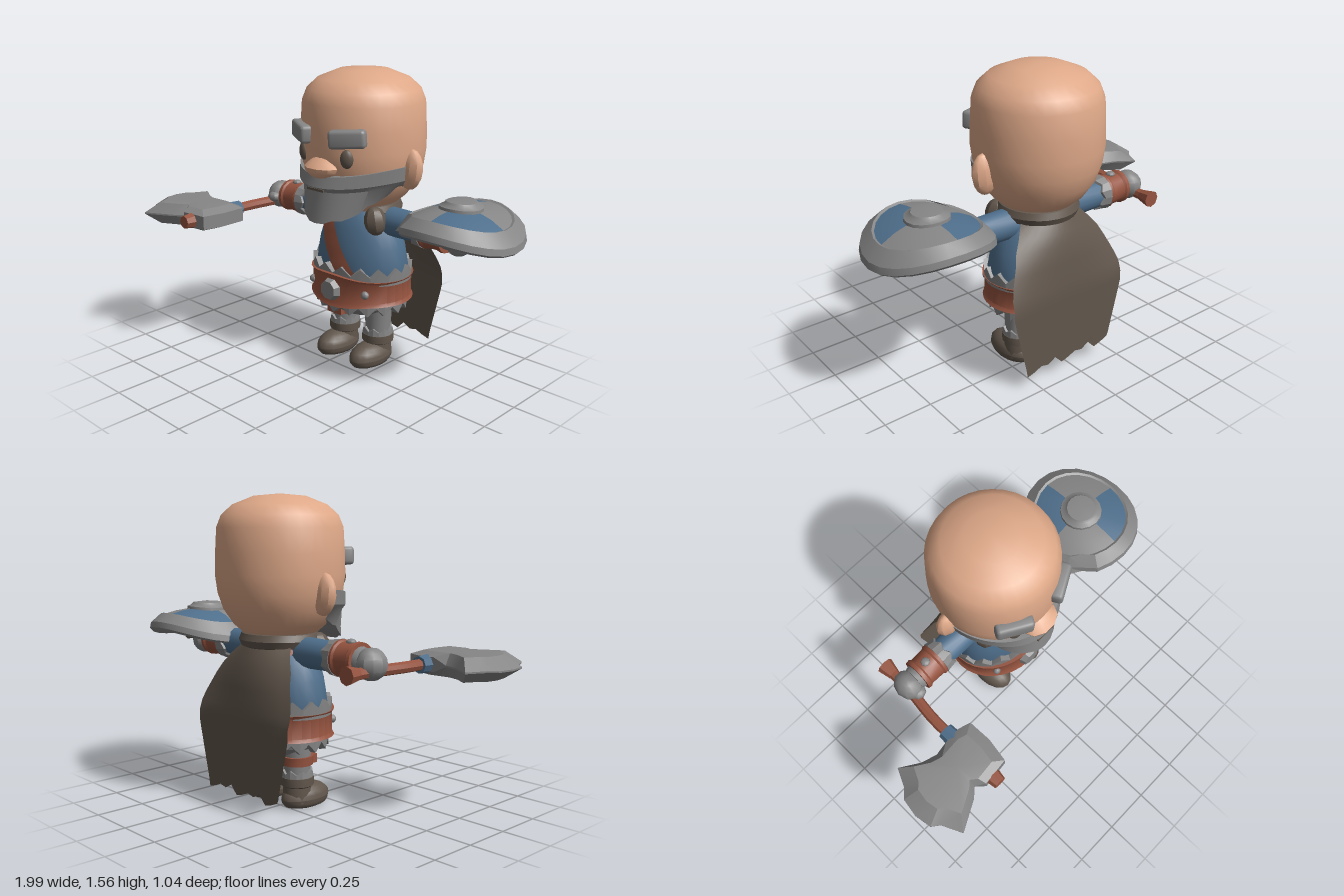
import * as THREE from 'three';
import { toCreasedNormals } from 'three/addons/utils/BufferGeometryUtils.js';
import { RoundedBoxGeometry } from 'three/addons/geometries/RoundedBoxGeometry.js';

const { sin, cos, abs, max, sqrt, PI } = Math;

function material(name, color, side = THREE.FrontSide) {
  const m = new THREE.MeshStandardMaterial({ color, side });
  m.name = name;
  return m;
}

function add(parent, name, geo, mat, pos = [0, 0, 0], rot = [0, 0, 0], scale = [1, 1, 1], crease = 0.6) {
  const mesh = new THREE.Mesh(toCreasedNormals(geo, crease), mat);
  mesh.name = name;
  mesh.position.set(...pos);
  mesh.rotation.set(...rot);
  mesh.scale.set(...scale);
  parent.add(mesh);
  return mesh;
}

function group(parent, name, x = 0, y = 0, z = 0) {
  const g = new THREE.Group();
  g.name = name;
  g.position.set(x, y, z);
  parent.add(g);
  return g;
}

// Surface from a rule: fn(i, j) gives a point, i runs around and j upwards
function grid(nu, nv, fn) {
  const pos = [], index = [];
  for (let j = 0; j <= nv; j++) for (let i = 0; i <= nu; i++) pos.push(...fn(i, j));
  for (let j = 0; j < nv; j++) for (let i = 0; i < nu; i++) {
    const a = j * (nu + 1) + i, b = a + 1, c = b + nu + 1, d = c - 1;
    index.push(a, b, c, a, c, d);
  }
  const geo = new THREE.BufferGeometry();
  geo.setAttribute('position', new THREE.Float32BufferAttribute(pos, 3));
  geo.setIndex(index);
  return geo;
}

const lathe = (pts, seg = 24, start = 0, length = 2 * PI) =>
  new THREE.LatheGeometry(pts.map(p => new THREE.Vector2(...p)), seg, start, length);

const cyl = (top, bottom, h, seg = 14) => new THREE.CylinderGeometry(top, bottom, h, seg);
const ball = (w = 14, h = 10) => new THREE.SphereGeometry(1, w, h);

function warp(geo, fn) {
  const p = geo.attributes.position, v = new THREE.Vector3();
  for (let i = 0; i < p.count; i++) {
    fn(v.fromBufferAttribute(p, i));
    p.setXYZ(i, v.x, v.y, v.z);
  }
  return geo;
}

// Ring whose rows [radius, y, tooth] get a zigzag of height tooth
const zigzag = (teeth, rows) => grid(teeth * 2, rows.length - 1, (i, j) => {
  const a = i / teeth * PI, [r, y, t] = rows[j];
  return [r * sin(a), y + (i % 2 ? t : 0), r * cos(a)];
});

// Linear interpolation through [x, y] pairs
function interp(table, x) {
  const k = max(1, table.findIndex(p => p[0] >= x));
  const [a, b] = [table[k - 1], table[k]];
  return a[1] + (b[1] - a[1]) * (x - a[0]) / (b[0] - a[0]);
}

export function createModel() {
  const skin = material('skin', 0xdea888);
  const grey = material('steelGrey', 0x868686, THREE.DoubleSide);
  const blue = material('blueCloth', 0x4f6f8c);
  const brown = material('redBrownLeather', 0x965440, THREE.DoubleSide);
  const dark = material('darkBrown', 0x61564c, THREE.DoubleSide);

  const root = new THREE.Group();
  root.name = 'dwarfWarrior';
  const body = group(root, 'body', 0.05, 0, -0.197);

  // Head
  const head = group(body, 'head');
  add(head, 'skull', lathe([[0, 0.83], [0.15, 0.85], [0.235, 0.925], [0.285, 1.0], [0.312, 1.08], [0.324, 1.17],
    [0.321, 1.28], [0.314, 1.4], [0.29, 1.46], [0.235, 1.51], [0.13, 1.552], [0, 1.564]], 32), skin, undefined, undefined, undefined, 1);
  for (const s of [-1, 1]) {
    add(head, 'ear', ball(10, 8), skin, [s * 0.313, 1.085, 0], [0, 0, -s * 0.1], [0.072, 0.105, 0.043]);
    add(head, 'eye', ball(), dark, [s * 0.147, 1.155, 0.283], [0, s * 0.45, 0], [0.034, 0.047, 0.022], 1);
    add(head, 'eyebrow', new RoundedBoxGeometry(0.185, 0.09, 0.065, 2, 0.018), grey,
      [s * 0.155, 1.255, 0.288], [0, s * 0.5, s * 0.07]);
  }
  const nose = warp(ball(10, 8), v => {
    const t = max(0, v.y);
    v.x *= 1 - 0.35 * t;
    v.z *= 1 - 0.5 * t;
    v.z += v.y < 0 ? 0 : -0.25 * t;
  });
  add(head, 'nose', nose, skin, [0, 1.1, 0.305], undefined, [0.1, 0.062, 0.073]);

  // Beard: rows from the throat, over the chin and moustache, up to the cheeks
  const beard = grid(24, 5, (i, j) => {
    const a = (i / 24 - 0.5) * PI * 1.04, c = max(0, cos(a)), s2 = sin(a) ** 2, c4 = c ** 4;
    const jag = i % 4 === 2 ? 0.012 : 0;
    const [r, y] = [
      [0.05, 0.93],
      [0.255 + 0.1 * c4, 0.82 + 0.15 * s2 + jag],
      [0.295 + 0.04 * c4, 0.98 + 0.03 * s2],
      [0.312 + 0.043 * c4, 1.003 + 0.03 * s2],
      [0.32 + 0.018 * c4, 1.06 + 0.045 * s2],
      [0.3, 1.06 + 0.045 * s2]][j];
    return [r * sin(a), y, r * cos(a)];
  });
  add(head, 'beard', beard, grey, undefined, undefined, undefined, 0.45);
  add(head, 'mouth', new THREE.BoxGeometry(0.11, 0.012, 0.008), dark, [0, 0.991, 0.349]);

  // Torso and mail skirt
  const flat = [1, 1, 0.74];
  const torsoProfile = [[0.25, 0.42], [0.272, 0.54], [0.25, 0.66], [0.22, 0.75], [0.16, 0.85], [0, 0.89]];
  add(body, 'torso', lathe(torsoProfile), blue, undefined, undefined, flat, 1);
  add(body, 'mailSkirt', lathe([[0, 0.265], [0.14, 0.27], [0.21, 0.32], [0.245, 0.42]]), grey, undefined, undefined, [1, 1, 0.82]);
  add(body, 'upperMailTrim', zigzag(16, [[0.285, 0.48, 0], [0.288, 0.525, 0.042], [0.25, 0.525, 0.042]]), grey, undefined, undefined, [1, 1, 0.8], 0.2);
  add(body, 'lowerMailTrim', zigzag(16, [[0.22, 0.3, 0.045], [0.258, 0.305, 0.045], [0.262, 0.39, 0]]), grey, undefined, undefined, [1, 1, 0.87], 0.2);

  // Belt, flaring to a point above and below the buckle
  const beltRows = [[0.25, -1], [0.29, -1], [0.279, -0.75], [0.279, 0.75], [0.29, 1], [0.25, 1]];
  add(body, 'belt', grid(32, 5, (i, j) => {
    const a = i / 16 * PI, [r, h] = beltRows[j];
    const y = 0.435 + h * (0.066 + 0.022 * max(0, cos(a)) ** 6);
    return [r * sin(a), y, r * cos(a) * 0.86];
  }), brown);
  add(body, 'buckle', cyl(0.05, 0.066, 0.04, 8), grey, [0, 0.437, 0.247], [PI / 2, PI / 8, 0]);
  for (const s of [-1, 1])
    add(body, 'beltStud', ball(8, 6), grey, [s * 0.185, 0.435, 0.182], undefined, [0.022, 0.022, 0.02]);

  // Chest strap, front and back
  const girth = torsoProfile.slice(0, 5).map(([r, y]) => [y, r]);
  for (const side of [1, -1]) add(body, side > 0 ? 'chestStrap' : 'backStrap', grid(4, 12, (i, j) => {
    const t = j / 12, y = 0.5 + 0.34 * t;
    const x = 0.1 - 0.25 * t ** 0.85 + (i / 4 - 0.5) * 0.12;
    const r = interp(girth, y) + 0.014;
    return [x, y, side * 0.74 * sqrt(max(0.0005, r * r - x * x)) + side * 0.006];
  }), brown);

  // Arms with bracers and mail gloves
  for (const s of [-1, 1]) {
    const arm = group(body, s > 0 ? 'leftArm' : 'rightArm', 0, 0.795, 0);
    const along = [0, 0, -s * PI / 2];
    add(arm, 'sleeve', cyl(0.073, 0.078, 0.28), blue, [s * 0.25, 0, 0], along);
    add(arm, 'sleeveTrim', zigzag(7, [[0.07, 0.365, 0.02], [0.085, 0.37, 0.02], [0.092, 0.43, 0], [0.07, 0.43, 0]]),
      grey, undefined, along, undefined, 0.3);
    add(arm, 'bracer', lathe([[0.05, 0.425], [0.088, 0.425], [0.09, 0.445], [0.082, 0.455], [0.08, 0.53],
      [0.088, 0.54], [0.086, 0.56], [0.05, 0.56]], 16), brown, undefined, along);
    add(arm, 'bracerStud', ball(8, 6), grey, [s * 0.495, 0.082, 0], undefined, [0.025, 0.015, 0.025]);
    add(arm, 'gloveCuff', cyl(0.062, 0.07, 0.03), grey, [s * 0.57, 0, 0], along);
    add(arm, 'hand', ball(10, 8), grey, [s * 0.625, -0.008, 0], undefined, [0.07, 0.077, 0.082]);
    add(arm, 'thumb', ball(8, 6), grey, [s * 0.615, -0.01, 0.065], undefined, [0.04, 0.03, 0.035]);
  }

  // Legs and boots
  for (const s of [-1, 1]) {
    const leg = group(body, s > 0 ? 'leftLeg' : 'rightLeg', s * 0.12, 0, 0);
    add(leg, 'trouser', cyl(0.078, 0.066, 0.22), grey, [0, 0.28, 0]);
    add(leg, 'mailCuff', zigzag(8, [[0.07, 0.155, 0], [0.082, 0.16, 0], [0.08, 0.18, 0.02], [0.06, 0.18, 0.02]]),
      grey, undefined, undefined, undefined, 0.3);
    add(leg, 'bootShaft', lathe([[0.074, 0.03], [0.072, 0.11], [0.084, 0.118], [0.084, 0.16], [0.06, 0.168]], 16), dark);
    const foot = warp(ball(16, 12), v => { v.y = max(-0.045, v.y * 0.075); });
    add(leg, 'bootFoot', foot, dark, [0, 0.045, 0.055], undefined, [0.086, 1, 0.145], 0.9);
    if (s < 0) {
      add(leg, 'thighStrap', cyl(0.084, 0.081, 0.045), brown, [0, 0.245, 0]);
      add(leg, 'thighPouch', new THREE.BoxGeometry(0.1, 0.045, 0.03), brown, [0, 0.245, 0.075]);
    }
  }

  // Cape with ragged hem, and its collar
  const width = [[0, 0.14], [0.075, 0.205], [0.14, 0.23], [0.33, 0.34], [0.45, 0.335], [0.75, 0.27], [0.88, 0.25]];
  width[2][1] = 0.255;
  width[4][1] = 0.342;
  const depth = [[0, -0.15], [0.1, -0.205], [0.2, -0.235], [0.38, -0.26], [0.88, -0.258]];
  add(body, 'cape', grid(12, 16, (i, j) => {
    const u = i / 6 - 1, hem = j === 0 ? [0, 0.012, 0.03, 0.02, 0.045][i % 5] : 0;
    const d = 0.79 * (1 - j / 16);
    const z = interp(depth, d) + 0.09 * u * u * max(0, 1 - d / 0.4);
    return [-u * interp(width, d), 0.865 - d + hem, z];
  }), dark, undefined, undefined, undefined, 0.9);
  add(body, 'capeCollar', new THREE.TorusGeometry(0.165, 0.045, 8, 20, 1.3 * PI), dark,
    [0, 0.85, 0], [PI / 2, 0, 0.85 * PI], [1, 1, 1]);
  for (const s of [-1, 1])
    add(body, 'collarFold', ball(8, 8), dark, [s * 0.175, 0.812, 0.1], [0, 0, s * 0.2], [0.055, 0.075, 0.06]);

  // Round shield, arched across its width, with a chipped rim
  const shield = group(root, 'shield', 0.68, 0, -0.19);
  const arch = geo => warp(geo, v => {
    if (abs(v.x + 0.22) < 0.05 && abs(v.z - 0.2) < 0.05) { v.x *= 0.93; v.z *= 0.93; }
    v.y -= 0.75 * v.x * v.x;
  });
  add(shield, 'shieldRim', arch(lathe([[0, 0.925], [0.12, 0.915], [0.24, 0.89], [0.3, 0.855], [0.312, 0.87], [0.306, 0.9],
    [0.25, 0.943], [0.238, 0.935]], 24)), grey, undefined, undefined, undefined, 0.3);
  for (let q = 0; q < 4; q++)
    add(shield, 'shieldQuarter', arch(lathe([[0.24, 0.935], [0.17, 0.95], [0.1, 0.957]], 6, q * PI / 2, PI / 2)),
      q % 2 ? grey : blue, undefined, undefined, undefined, 0.3);
  add(shield, 'shieldBoss', arch(lathe([[0.11, 0.945], [0.107, 0.97], [0.085, 0.978], [0.075, 0.99], [0, 0.997]], 16)), grey);
  add(shield, 'shieldGrip', cyl(0.03, 0.03, 0.26, 8), dark, [0, 0.825, 0], [PI / 2, 0, 0]);

  // Axe: bent handle, end caps, cloth wrap
  const axe = group(root, 'axe', 0, 0.755, 0);
  const path = new THREE.CatmullRomCurve3([[-0.583, -0.36], [-0.585, -0.18], [-0.605, 0], [-0.605, 0.2], [-0.602, 0.46]]
    .map(([x, z]) => new THREE.Vector3(x, 0, z)));
  add(axe, 'axeHandle', new THREE.TubeGeometry(path, 14, 0.028, 8), brown);
  add(axe, 'handleTip', cyl(0.034, 0.042, 0.05, 8), brown, [-0.602, 0, 0.452], [PI / 2, 0, 0]);
  add(axe, 'handlePommel', cyl(0.03, 0.045, 0.07, 8), brown, [-0.583, 0, -0.335], [PI / 2, 0, 0]);
  add(axe, 'handleWrap', cyl(0.046, 0.042, 0.065, 8), blue, [-0.605, 0, 0.13], [PI / 2, 0, 0]);

  // Axe blade: outline [x, z], thick at the handle and sharp at the edge
  const outline = [[-0.495, 0.165], [-0.56, 0.145], [-0.65, 0.15], [-0.72, 0.155], [-0.8, 0.13], [-0.9, 0.065],
    [-0.945, 0.16], [-0.985, 0.2], [-1, 0.295], [-0.985, 0.385], [-0.945, 0.415], [-0.895, 0.52], [-0.745, 0.44],
    [-0.7, 0.4], [-0.655, 0.435], [-0.51, 0.42], [-0.49, 0.295]];
  const layers = [[0, -0.066], [0.72, -0.058], [1, -1], [1, 1], [0.72, 0.058], [0, 0.066]];
  add(axe, 'axeBlade', grid(outline.length, 5, (i, j) => {
    const [x, z] = outline[i % outline.length], [k, y] = layers[j];
    const rim = x > -0.7 ? 0.036 : 0.004;
    return [-0.7 + (x + 0.7) * k, abs(y) === 1 ? y * rim : y, 0.29 + (z - 0.29) * k];
  }), grey, undefined, undefined, undefined, 0.3);

  return root;
}
